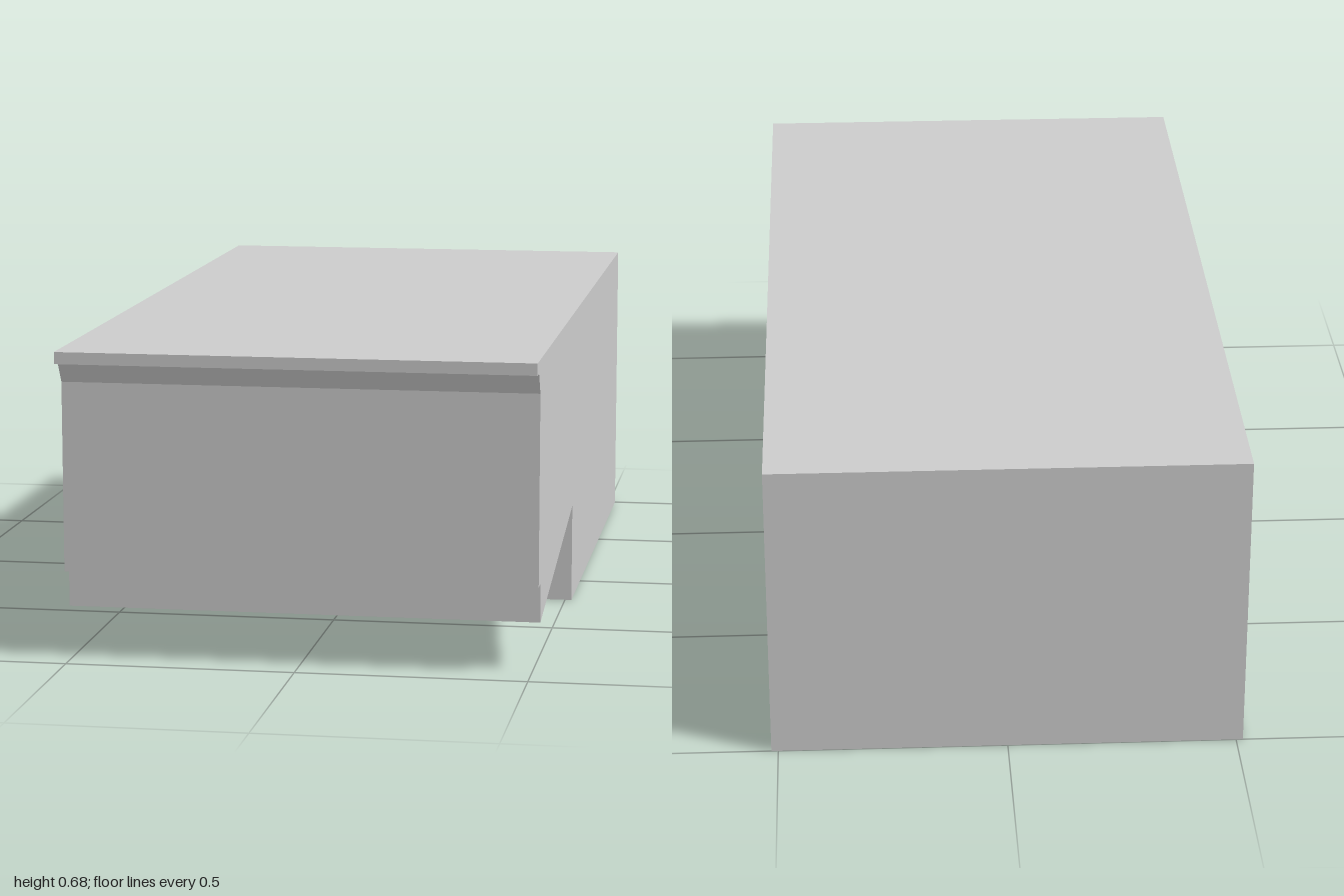
import * as THREE from 'three';

const WIDTH = 1.03;

export function createModel() {
  const group = new THREE.Group();
  group.name = 'steppedBlock';

  // Side profile as [z, y], counter-clockwise from the bottom rear corner
  const profile = [
    [-1, 0], [0.21, 0],          // base
    [0.21, 0.225], [0.9, 0.105], // step and sloped underside
    [0.9, 0.19], [0.94, 0.19],   // recessed kick strip
    [0.94, 0.605],               // front panel
    [0.97, 0.652], [1, 0.652],   // chamfer under the overhanging lip
    [1, 0.678], [-1, 0.678],     // lip edge and top
  ];
  const shape = new THREE.Shape(profile.map(([z, y]) => new THREE.Vector2(z, y)));

  // Extrude across the width, then turn the profile to face +z
  const geometry = new THREE.ExtrudeGeometry(shape, { depth: WIDTH, bevelEnabled: false });
  geometry.translate(0, 0, -WIDTH / 2);
  geometry.rotateY(-Math.PI / 2);

  const material = new THREE.MeshStandardMaterial({ color: 0xcccccc, flatShading: true });
  const body = new THREE.Mesh(geometry, material);
  body.name = 'body';
  group.add(body);
  return group;
}
